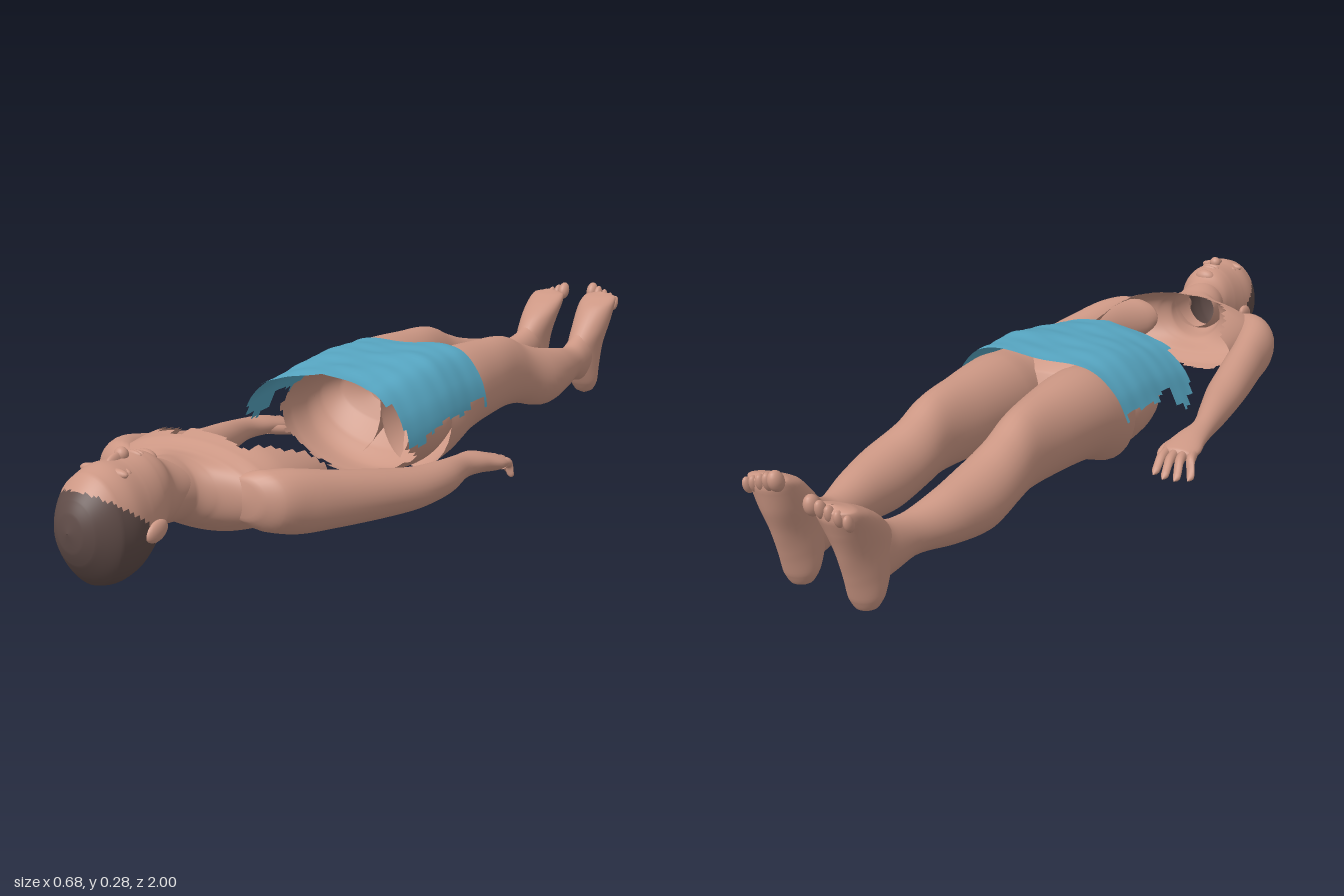
import * as THREE from 'three';

const skin = new THREE.MeshStandardMaterial({ color: 0xcc9784, side: THREE.DoubleSide });
skin.name = 'skin';
const hair = new THREE.MeshStandardMaterial({ color: 0x604c48, side: THREE.DoubleSide });
hair.name = 'hair';
const cloth = new THREE.MeshStandardMaterial({ color: 0x56a5c1, side: THREE.DoubleSide });
cloth.name = 'cloth';

// Repeatable noise in 0..1 for torn edges
const noise = (n) => { const s = Math.sin(n * 127.1) * 43758.5453; return s - Math.floor(s); };

function addMesh(group, name, geometry, material) {
  const mesh = new THREE.Mesh(geometry, material);
  mesh.name = name;
  group.add(mesh);
  return mesh;
}

// Grid surface from point(i, j); keep(x, y, z, i, j) decides which cells stay
function gridSurface(rows, cols, closed, point, keep = () => true) {
  const pos = [], index = [], pts = [];
  const width = closed ? cols : cols + 1;
  for (let i = 0; i <= rows; i++) {
    for (let j = 0; j < width; j++) {
      const p = point(i, j);
      pts.push(p);
      pos.push(p.x, p.y, p.z);
    }
  }
  const full = [];
  for (let i = 0; i < rows; i++) {
    for (let j = 0; j < cols; j++) {
      const k = (j + 1) % width;
      const a = i * width + j, b = i * width + k, c = b + width, d = a + width;
      full.push(a, b, c, a, c, d);
      const m = pts[a].clone().add(pts[c]).multiplyScalar(0.5);
      if (keep(m.x, m.y, m.z, i, j)) index.push(a, b, c, a, c, d);
    }
  }
  const geo = new THREE.BufferGeometry();
  geo.setAttribute('position', new THREE.Float32BufferAttribute(pos, 3));
  geo.setIndex(full);
  geo.computeVertexNormals();
  geo.setIndex(index);
  return geo;
}

// Loft of ellipses [x, y, z, r1, r2] along z (rings in xy) or along y (rings in xz)
function loft(sections, { axis = 'z', cols = 28, per = 6, keep } = {}) {
  const k = axis === 'z' ? 2 : 1;
  const s = sections[0][k] > sections[sections.length - 1][k] ? [...sections].reverse() : sections;
  const centre = new THREE.CatmullRomCurve3(s.map((p) => new THREE.Vector3(p[0], p[1], p[2])));
  const radius = new THREE.CatmullRomCurve3(s.map((p) => new THREE.Vector3(p[3], p[4], 0)));
  const rows = (s.length - 1) * per;
  return gridSurface(rows, cols, true, (i, j) => {
    const p = centre.getPoint(i / rows), r = radius.getPoint(i / rows);
    const t = (j / cols) * Math.PI * 2;
    p.x += r.x * Math.cos(t);
    if (axis === 'z') p.y += r.y * Math.sin(t); else p.z -= r.y * Math.sin(t);
    return p;
  }, keep);
}

function ellipsoid(group, name, [x, y, z], [a, b, c], rx = 0) {
  const mesh = addMesh(group, name, new THREE.SphereGeometry(1, 18, 12), skin);
  mesh.position.set(x, y, z);
  mesh.scale.set(a, b, c);
  mesh.rotation.x = rx;
}

function buildHead() {
  const head = new THREE.Group();
  head.name = 'head';
  const cx = 0.015;
  const sections = [
    [cx, 0.145, 0.72, 0.055, 0.05], [cx, 0.145, 0.765, 0.055, 0.066], [cx, 0.152, 0.79, 0.064, 0.076],
    [cx, 0.14, 0.82, 0.074, 0.094], [cx, 0.124, 0.86, 0.082, 0.108], [cx, 0.12, 0.9, 0.086, 0.113],
    [cx, 0.118, 0.94, 0.08, 0.104], [cx, 0.122, 0.978, 0.05, 0.062], [cx, 0.124, 0.99, 0.03, 0.037],
    [cx, 0.125, 0.997, 0.001, 0.001],
  ];
  const isHair = (x, y, z) => z > 0.84 && y < 0.182 + (z - 0.95) * 0.75;
  const opt = { cols: 72, per: 10 };
  addMesh(head, 'face', loft(sections, { ...opt, keep: (x, y, z) => !isHair(x, y, z) }), skin);
  addMesh(head, 'hair', loft(sections, { ...opt, keep: isHair }), hair);
  // Facial features
  ellipsoid(head, 'noseBridge', [cx, 0.226, 0.868], [0.009, 0.016, 0.026], 0.2);
  ellipsoid(head, 'noseTip', [cx, 0.236, 0.85], [0.014, 0.014, 0.013]);
  ellipsoid(head, 'upperLip', [cx, 0.229, 0.822], [0.023, 0.009, 0.006]);
  ellipsoid(head, 'lowerLip', [cx, 0.227, 0.811], [0.02, 0.009, 0.006]);
  ellipsoid(head, 'chin', [cx, 0.213, 0.786], [0.026, 0.018, 0.016]);
  for (const s of [-1, 1]) {
    ellipsoid(head, 'brow', [cx + s * 0.03, 0.216, 0.897], [0.026, 0.01, 0.01]);
    ellipsoid(head, 'eyelid', [cx + s * 0.032, 0.213, 0.878], [0.015, 0.009, 0.008]);
    ellipsoid(head, 'ear', [cx + s * 0.085, 0.108, 0.858], [0.011, 0.019, 0.029], 0.3);
  }
  return head;
}

function buildArm(name, sections, fingers, thumb) {
  const arm = new THREE.Group();
  arm.name = name;
  addMesh(arm, 'armAndPalm', loft(sections), skin);
  // Fingers: [base x, tip x, tip z, tip y]
  for (const [bx, tx, tz, ty] of fingers) {
    addMesh(arm, 'finger', loft([
      [bx, 0.056, -0.015, 0.011, 0.012], [(bx + tx) / 2, 0.053, (tz - 0.015) / 2, 0.0105, 0.011],
      [tx, ty + 0.006, tz + 0.014, 0.009, 0.009], [tx, ty, tz, 0.001, 0.001]], { cols: 12 }), skin);
  }
  addMesh(arm, 'thumb', loft([
    [thumb * 0.265, 0.06, 0.045, 0.012, 0.012], [thumb * 0.247, 0.054, 0.015, 0.013, 0.012],
    [thumb * 0.24, 0.046, -0.015, 0.009, 0.009], [thumb * 0.24, 0.042, -0.03, 0.001, 0.001]], { cols: 12 }), skin);
  return arm;
}

// s is the side, lower = x of the lower leg, foot = [x, y lift, z shift]
function buildLeg(name, s, lower, foot) {
  const leg = new THREE.Group();
  leg.name = name;
  const [calf, shin, ankle] = lower;
  const [fx, fy, fz] = foot;
  addMesh(leg, 'thighAndCalf', loft([
    [s * 0.093, 0.128, -0.03, 0.092, 0.12], [s * 0.1, 0.138, -0.08, 0.093, 0.111],
    [s * 0.1, 0.155, -0.15, 0.09, 0.102], [s * 0.1, 0.16, -0.28, 0.075, 0.092], [s * 0.103, 0.158, -0.4, 0.057, 0.085],
    [s * 0.104, 0.14, -0.47, 0.058, 0.075], [s * calf, 0.117, -0.55, 0.062, 0.072], [s * shin, 0.112, -0.65, 0.051, 0.058],
    [s * ankle, 0.11, -0.75, 0.036, 0.043], [s * fx, 0.112, -0.81 + fz, 0.035, 0.054],
    [s * fx, 0.125, -0.855 + fz, 0.033, 0.07], [s * fx, 0.14, -0.89 + fz, 0.02, 0.04]]), skin);
  addMesh(leg, 'foot', loft([
    [s * fx, 0.013, -0.872, 0.002, 0.002], [s * fx, 0.022, -0.872, 0.022, 0.022], [s * fx, 0.045, -0.87, 0.033, 0.038],
    [s * fx, 0.09, -0.866, 0.035, 0.058], [s * fx, 0.14, -0.87, 0.037, 0.072],
    [s * fx, 0.19, -0.9, 0.044, 0.062], [s * fx, 0.225 + fy, -0.932, 0.047, 0.044],
    [s * fx, 0.245 + fy, -0.952, 0.041, 0.024], [s * fx, 0.254 + fy, -0.96, 0.002, 0.002],
  ].map((p) => [p[0], p[1], p[2] + fz, p[3], p[4]]), { axis: 'y' }), skin);
  // Toes, the big one on the inner side
  for (let i = 0; i < 5; i++) {
    const r = i === 0 ? 0.014 : 0.0105 - i * 0.0005;
    ellipsoid(leg, 'toe', [s * (fx - 0.034 + i * 0.0175), 0.25 + fy - i * 0.006, -0.972 + fz + i * 0.002],
      [r, 0.023 - i * 0.001, r + 0.003], -0.5);
  }
  return leg;
}

export function createModel() {
  const model = new THREE.Group();
  model.name = 'lyingFigure';
  model.add(buildHead());

  // Neck and open upper chest with a torn edge running down both flanks
  addMesh(model, 'neckAndChest', loft([
    [0.01, 0.143, 0.79, 0.05, 0.06], [0.008, 0.14, 0.75, 0.059, 0.065], [0.006, 0.135, 0.71, 0.068, 0.064],
    [0, 0.128, 0.685, 0.105, 0.068], [-0.005, 0.122, 0.655, 0.175, 0.076], [-0.008, 0.12, 0.625, 0.202, 0.09],
    [-0.006, 0.122, 0.57, 0.2, 0.1], [-0.006, 0.122, 0.43, 0.19, 0.085]], {
    cols: 80, per: 10,
    keep: (x, y, z, i, j) => {
      const side = THREE.MathUtils.smoothstep(Math.abs(x + 0.006), 0.1, 0.178);
      const edge = 0.605 - side * (y > 0.1 ? 0.15 : 0.06);
      return z > edge + (noise(Math.floor(j / 2)) - 0.5) * 0.035;
    },
  }), skin);

  model.add(buildArm('rightArm', [
    [-0.135, 0.124, 0.672, 0.002, 0.002], [-0.15, 0.122, 0.662, 0.05, 0.042], [-0.178, 0.118, 0.635, 0.062, 0.062],
    [-0.203, 0.111, 0.59, 0.055, 0.068],
    [-0.222, 0.1, 0.5, 0.046, 0.06], [-0.235, 0.086, 0.4, 0.045, 0.053], [-0.249, 0.077, 0.3, 0.043, 0.043],
    [-0.268, 0.073, 0.2, 0.034, 0.036], [-0.286, 0.07, 0.1, 0.026, 0.025], [-0.285, 0.066, 0.04, 0.035, 0.022],
    [-0.285, 0.06, 0, 0.042, 0.019], [-0.285, 0.056, -0.03, 0.036, 0.014], [-0.285, 0.055, -0.038, 0.002, 0.002],
  ], [[-0.316, -0.334, -0.08, 0.022], [-0.296, -0.312, -0.102, 0.025], [-0.277, -0.288, -0.11, 0.028],
    [-0.258, -0.262, -0.1, 0.03]], -1));

  model.add(buildArm('leftArm', [
    [0.125, 0.124, 0.67, 0.002, 0.002], [0.14, 0.122, 0.66, 0.05, 0.042], [0.168, 0.117, 0.635, 0.062, 0.06],
    [0.2, 0.109, 0.585, 0.055, 0.065],
    [0.235, 0.098, 0.5, 0.052, 0.058], [0.265, 0.087, 0.4, 0.052, 0.051], [0.291, 0.078, 0.3, 0.046, 0.043],
    [0.298, 0.075, 0.2, 0.037, 0.036], [0.284, 0.072, 0.1, 0.028, 0.026], [0.283, 0.068, 0.04, 0.038, 0.024],
    [0.287, 0.06, 0, 0.047, 0.02], [0.288, 0.056, -0.03, 0.042, 0.015], [0.288, 0.055, -0.038, 0.002, 0.002],
  ], [[0.321, 0.324, -0.06, 0.022], [0.3, 0.304, -0.085, 0.022], [0.28, 0.284, -0.092, 0.024],
    [0.26, 0.262, -0.08, 0.027]], 1));

  // Open pelvis with a ragged rim
  addMesh(model, 'pelvis', loft([
    [-0.005, 0.13, 0.14, 0.165, 0.105], [-0.005, 0.128, 0.06, 0.182, 0.124], [-0.003, 0.126, 0, 0.185, 0.124],
    [0, 0.137, -0.05, 0.18, 0.106], [0, 0.145, -0.09, 0.15, 0.07], [0, 0.145, -0.11, 0.08, 0.03]], {
    cols: 72, per: 10,
    keep: (x, y, z, i, j) => z < (y < 0.08 ? 0.075 : 0.1) + (noise(Math.floor(j / 2) + 40) - 0.5) * 0.035 - (y > 0.17 ? 0.03 : 0),
  }), skin);

  model.add(buildLeg('rightLeg', -1, [0.098, 0.09, 0.07], [0.066, 0, -0.01]));
  model.add(buildLeg('leftLeg', 1, [0.117, 0.115, 0.104], [0.101, 0.014, 0.02]));

  // Draped cloth, arched across the hips, sagging towards the waist, with torn side hems
  const arch = new THREE.CatmullRomCurve3([
    [-0.246, 0.115], [-0.225, 0.16], [-0.2, 0.205], [-0.15, 0.247], [-0.1, 0.262], [0, 0.264],
    [0.1, 0.27], [0.15, 0.256], [0.19, 0.21], [0.207, 0.165], [0.212, 0.115],
  ].map(([x, y]) => new THREE.Vector3(x, y, 0)));
  const rows = 34, cols = 60;
  addMesh(model, 'hipCloth', gridSurface(rows, cols, false, (i, j) => {
    const p = arch.getPoint(j / cols);
    const z = 0.2 - 0.34 * (i / rows);
    const fold = 0.0012 * Math.sin(z * 55 + p.x * 18) + 0.0008 * Math.sin(z * 110 - p.x * 30);
    const taper = p.x < 0 ? 0.965 + Math.max(0, z) * 0.25 : 1 - Math.max(0, z - 0.05) * 0.4;
    const sag = Math.max(0, z) * (0.04 + Math.min(0.12, Math.abs(p.x)));
    return new THREE.Vector3(p.x * taper, p.y + fold - sag, z);
  }, (x, y, z, i, j) => {
    const hem = z > 0.08 && z < 0.175 ? 0.12 : 0.155;
    const corner = Math.abs(x) < 0.165 || z < 0.18;
    return corner && y > hem + (noise(Math.floor(i / 3) + (x > 0 ? 90 : 70)) - 0.5) * 0.03;
  }), cloth);

  return model;
}
